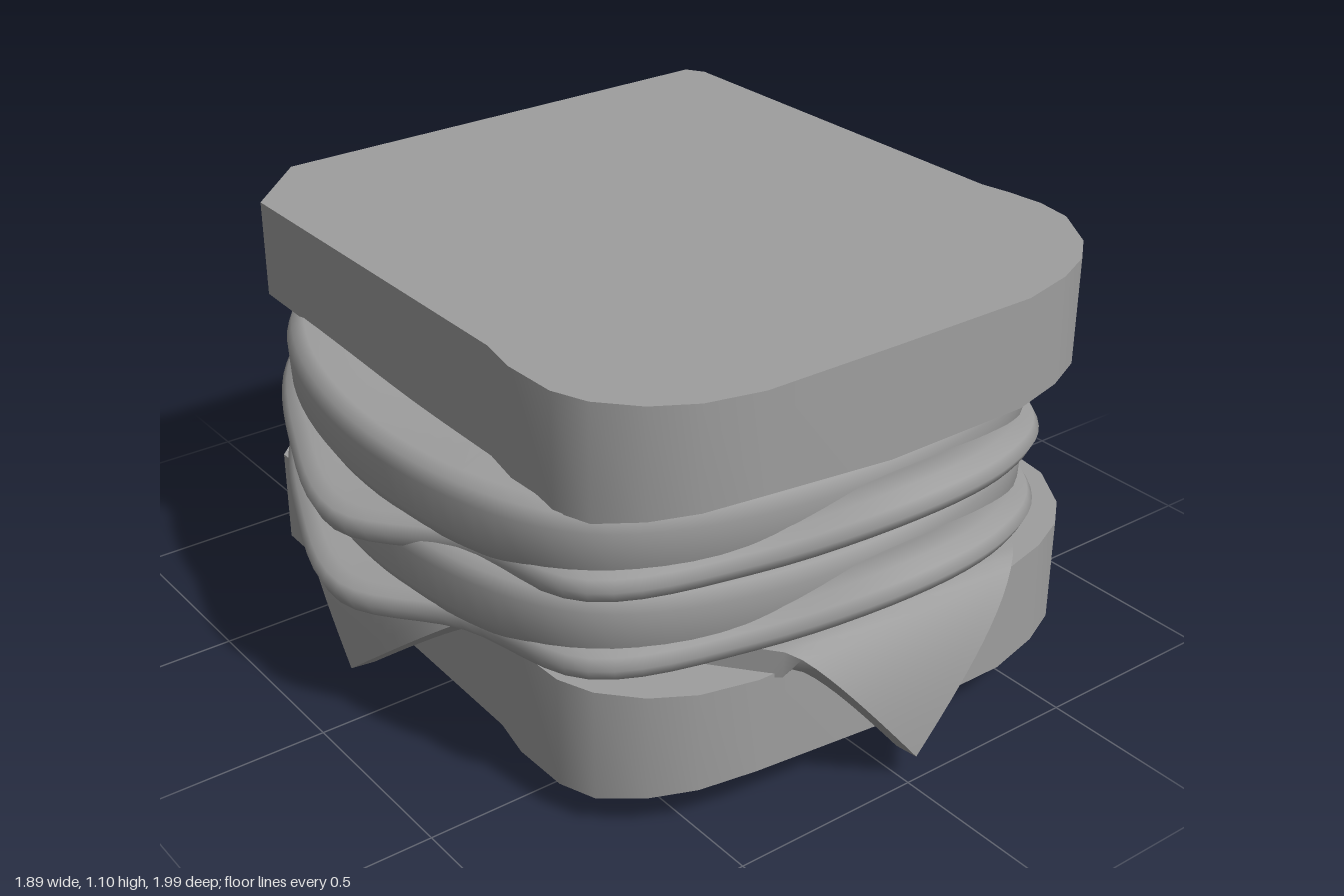
import * as THREE from 'three';
import { toCreasedNormals } from 'three/addons/utils/BufferGeometryUtils.js';

const material = new THREE.MeshStandardMaterial({ color: 0x9e9e9e });

function part(name, geometry, y = 0) {
  const mesh = new THREE.Mesh(geometry, material);
  mesh.name = name;
  mesh.position.y = y;
  return mesh;
}

// Slice outline as [x, z]: rounded front corners, a waist, one clipped back corner
const BREAD = [
  [-0.70, -0.70], [-0.52, -0.875], [0.78, -0.87], [0.81, -0.82], [0.81, 0.32], [0.825, 0.40],
  [0.835, 0.50], [0.82, 0.60], [0.74, 0.73], [0.66, 0.80], [0.55, 0.85], [0.40, 0.885], [0, 0.882],
  [-0.36, 0.875], [-0.50, 0.84], [-0.60, 0.78], [-0.68, 0.69], [-0.715, 0.60], [-0.72, 0.45], [-0.70, 0.34],
];

function breadGeometry() {
  const shape = new THREE.Shape(BREAD.map(([x, z]) => new THREE.Vector2(x, -z)));
  const g = new THREE.ExtrudeGeometry(shape, { depth: 0.27, bevelEnabled: false });
  g.rotateX(-Math.PI / 2);
  const p = g.attributes.position;
  // Uneven underside, lifted along the front edge; nearly level top
  for (let i = 0; i < p.count; i++) {
    const x = p.getX(i), z = p.getZ(i), under = p.getY(i) < 0.1;
    const lift = z > 0.7 ? 0.04 * Math.exp(-(((x + 0.38) / 0.25) ** 2)) : 0;
    p.setY(i, p.getY(i) + (under ? 0.008 * x - 0.016 * z + 0.017 * x * z + lift : 0.008 * x));
  }
  g.computeVertexNormals();
  return toCreasedNormals(g, 0.6);
}

// Lofted disc: rim gives [radius, height] at even angles from the front round to +x.
// Each profile ring is [scale, offset from rim height, level, blend towards that level].
function layerGeometry(rim, profile, segments = 96) {
  const curve = new THREE.CatmullRomCurve3(rim.map(([r, y], i) => {
    const a = (i / rim.length) * Math.PI * 2;
    return new THREE.Vector3(Math.sin(a) * r, y, Math.cos(a) * r);
  }), true, 'catmullrom', 0.5);
  const positions = [], index = [];
  profile.forEach(([s, dy, level, blend], i) => {
    for (let j = 0; j < segments; j++) {
      const q = curve.getPoint(j / segments);
      positions.push(q.x * s, THREE.MathUtils.lerp(q.y + dy, level, blend), q.z * s);
      if (i === 0) continue;
      const k = (j + 1) % segments, a = (i - 1) * segments, b = i * segments;
      index.push(a + j, b + j, b + k, a + j, b + k, a + k);
    }
  });
  const g = new THREE.BufferGeometry();
  g.setAttribute('position', new THREE.Float32BufferAttribute(positions, 3));
  g.setIndex(index);
  g.computeVertexNormals();
  return g;
}

// Thin wavy slice with a rounded, rippling lip
function wavySliceGeometry() {
  const rim = [
    [0.99, 0.74], [0.98, 0.70], [0.97, 0.63], [0.91, 0.625], [0.93, 0.64], [1.01, 0.64], [1.10, 0.665], [1.04, 0.66],
    [0.99, 0.635], [1.02, 0.64], [0.96, 0.65], [0.92, 0.62], [0.94, 0.585], [0.86, 0.62], [0.99, 0.645], [0.94, 0.675],
  ];
  return layerGeometry(rim, [
    [0.001, 0, 0.70, 1], [0.75, 0.05, 0.70, 0.7], [0.90, 0.05, 0, 0], [0.95, 0.042, 0, 0], [0.985, 0.025, 0, 0],
    [1, 0, 0, 0], [0.985, -0.03, 0, 0], [0.95, -0.042, 0, 0], [0.90, -0.042, 0, 0],
    [0.75, -0.04, 0.61, 0.7], [0.001, 0, 0.61, 1],
  ]);
}

// Thicker slice with a soft upright edge
function thickSliceGeometry() {
  const rim = [
    [0.88, 0.83], [0.94, 0.83], [0.93, 0.85], [1.03, 0.86],
    [0.95, 0.865], [0.93, 0.85], [0.86, 0.82], [0.96, 0.825],
  ];
  return layerGeometry(rim, [
    [0.001, 0, 0.85, 1], [0.80, 0.005, 0, 0], [0.95, 0, 0, 0], [0.985, -0.015, 0, 0], [1, -0.05, 0, 0],
    [0.995, -0.14, 0, 0], [0.96, -0.19, 0, 0], [0.90, 0, 0.61, 1], [0.001, 0, 0.61, 1],
  ]);
}

// Square sheet turned cornerwise; each corner folds down over the bread edge
function cheeseGeometry() {
  const g = new THREE.BoxGeometry(2, 1, 2, 44, 1, 44);
  const p = g.attributes.position;
  const [F, R, B, L] = [[0.02, 1.30], [1.22, 0.05], [0.04, -1.19], [-1.17, -0.19]];
  const thick = 0.075;
  // Returns the folded coordinate, the drop and how far the sheet has turned
  const fold = (v, min, max) => {
    const edge = v > 0 ? max : min, e = Math.max(0, Math.abs(v) - Math.abs(edge));
    const out = 0.115 * (1 - Math.exp(-e / 0.12));
    return { v: e > 0 ? edge + Math.sign(v) * out : v, drop: (e * e) / (e + 0.05), turn: e / (e + 0.05), sign: Math.sign(v) };
  };
  for (let i = 0; i < p.count; i++) {
    const u = (p.getX(i) + 1) / 2, w = (p.getZ(i) + 1) / 2, inner = p.getY(i) < 0 ? thick : 0;
    const at = (k) => u * w * F[k] + u * (1 - w) * R[k] + (1 - u) * (1 - w) * B[k] + (1 - u) * w * L[k];
    const fx = fold(at(0), -0.70, 0.80), fz = fold(at(1), -0.88, 0.89);
    p.setXYZ(i,
      fx.v - inner * fx.turn * fx.sign,
      0.44 - fx.drop - fz.drop - inner * (1 - Math.max(fx.turn, fz.turn)),
      fz.v - inner * fz.turn * fz.sign);
  }
  g.computeVertexNormals();
  return g;
}

export function createModel() {
  const group = new THREE.Group();
  group.name = 'sandwich';

  // Bread
  const bread = breadGeometry();
  group.add(part('bottomBread', bread, 0.112), part('topBread', bread, 0.83));

  // Drooping cheese on the lower slice
  group.add(part('cheese', cheeseGeometry()));

  // Two matching pairs of filling slices
  const wavy = wavySliceGeometry(), thick = thickSliceGeometry();
  [['lower', -0.2], ['upper', 0]].forEach(([name, y]) => {
    group.add(part(name + 'WavySlice', wavy, y), part(name + 'ThickSlice', thick, y));
  });
  return group;
}
